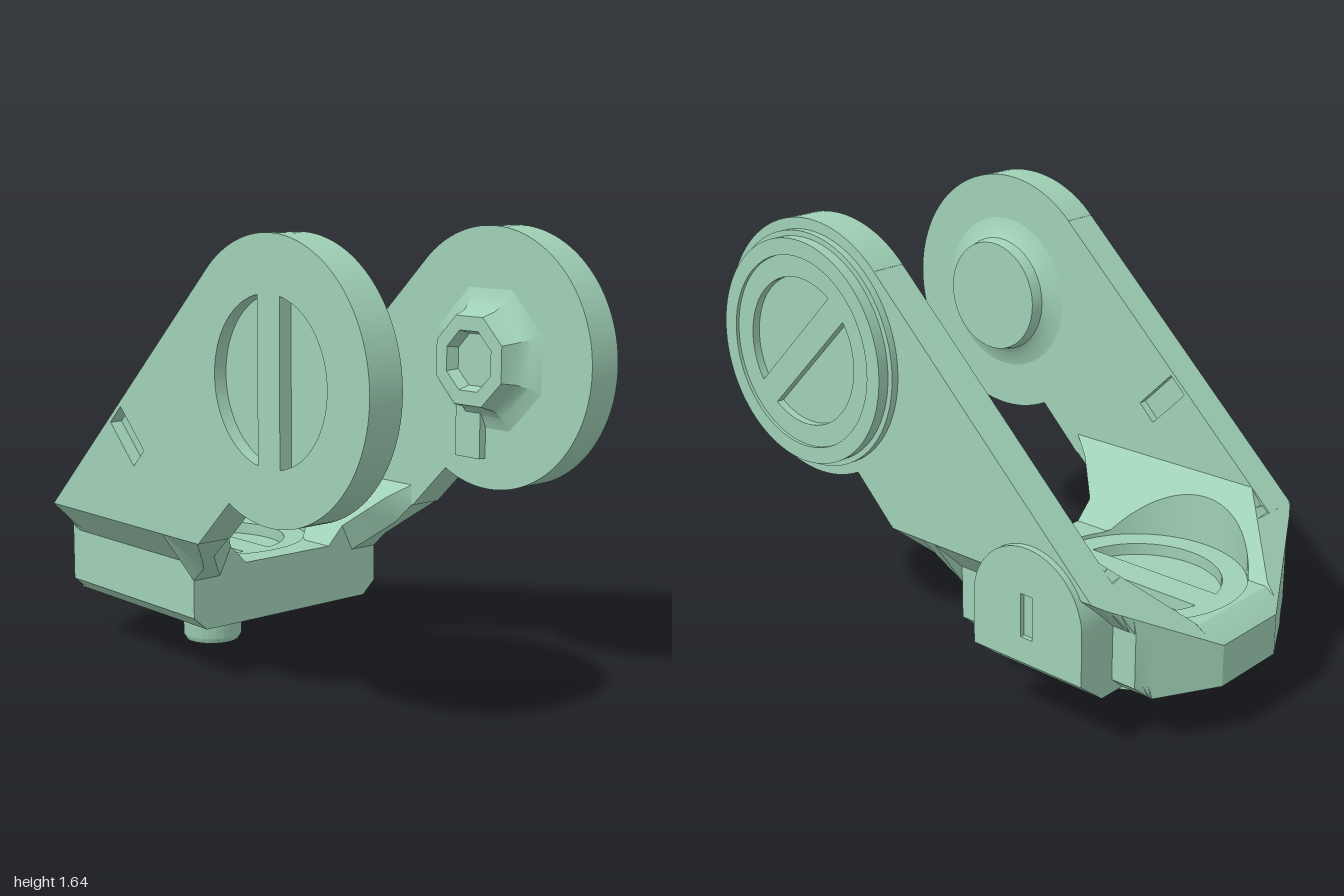
import * as THREE from 'three';
import { toCreasedNormals } from 'three/addons/utils/BufferGeometryUtils.js';

const material = new THREE.MeshStandardMaterial({ color: 0x9fd0b5 });
const PIVOT = [0.53, 1.17];          // centre of the round arm ends
const SCREW = -0.53;                 // x of the base screw
const IN = 0.4375, OUT = 0.5725;     // inner and outer face of the arms
const FLOOR = 0.2;                   // half width of the cradle floor

function add(parent, name, geometry) {
  const mesh = new THREE.Mesh(toCreasedNormals(geometry, 0.5), material);
  mesh.name = name;
  parent.add(mesh);
  return mesh;
}

// Flat plate between two z values, with optional holes
function plate(shape, holes, z0, z1) {
  const s = shape.clone();
  s.holes = holes;
  const g = new THREE.ExtrudeGeometry(s, { depth: z1 - z0, bevelEnabled: false, curveSegments: 40 });
  return g.translate(0, 0, z0);
}

function disc(x, y, r) {
  return new THREE.Shape().absarc(x, y, r, 0, Math.PI * 2, false);
}

// The two half-moon recesses on either side of a screw bar
function halfMoons(x, y, r, halfBar, turn) {
  const a = Math.acos(halfBar / r);
  return [turn, turn + Math.PI].map(t => {
    const p = new THREE.Path();
    p.absarc(x, y, r, t - a, t + a, false);
    p.closePath();
    return p;
  });
}

function slot(x, y, length, width, turn) {
  const c = Math.cos(turn), s = Math.sin(turn);
  return new THREE.Path([[-1, -1], [1, -1], [1, 1], [-1, 1]].map(([u, v]) => {
    const a = u * length / 2, b = v * width / 2;
    return new THREE.Vector2(x + a * c - b * s, y + a * s + b * c);
  }));
}

// Solid lofted along x; section(x) gives [z, y] corners
function loft(stations, section) {
  const rows = stations.map(x => section(x).map(([z, y]) => new THREE.Vector3(x, y, z)));
  const pos = [], n = rows[0].length;
  const tri = (...v) => v.forEach(p => pos.push(p.x, p.y, p.z));
  for (let i = 0; i < rows.length - 1; i++) {
    for (let j = 0; j < n; j++) {
      const k = (j + 1) % n, a = rows[i], b = rows[i + 1];
      tri(a[j], b[j], a[k]);
      tri(a[k], b[j], b[k]);
    }
  }
  [rows[0], rows[rows.length - 1]].forEach((row, end) => {
    const flat = row.map(p => new THREE.Vector2(p.z, p.y));
    for (const [a, b, c] of THREE.ShapeUtils.triangulateShape(flat, [])) {
      end ? tri(row[a], row[c], row[b]) : tri(row[a], row[b], row[c]);
    }
  });
  const g = new THREE.BufferGeometry();
  g.setAttribute('position', new THREE.Float32BufferAttribute(pos, 3));
  g.computeVertexNormals();
  return g;
}

const mirrored = pts => pts.map(([z, y]) => [-z, y]).reverse();
const slopeY = z => 0.42 + Math.max(0, z - FLOOR);
const bevelZ = y => IN + Math.min(1, Math.max(0, (y - 0.45) / 0.13)) * (OUT - IN);

// Cradle cross-section: bevelled sides, sloped inside, round pocket in the floor
function cradleSection(x) {
  const R = 0.375, dx = x - SCREW;
  const top = 1.32 + 0.965 * x, width = 0.155 + 1.83 * (x + 1);
  const inPocket = Math.abs(dx) < R + 1e-6;
  const h = inPocket ? Math.sqrt(Math.max(0, R * R - dx * dx)) : 0;
  const outerY = Math.min(top, 0.58), innerY = Math.min(top, 0.6575);
  const corner = Math.max(FLOOR, h);
  const half = [
    [0.38, 0.2], [IN, 0.25], [IN, Math.min(top, 0.45)],
    [bevelZ(outerY), outerY],
    [FLOOR + Math.max(0, innerY - 0.42), innerY],
    [corner, slopeY(corner)], [h, slopeY(h)],
    [h, inPocket ? 0.36 : 0.42],
  ].map(([z, y]) => [Math.min(z, width), Math.min(y, top)]);
  return [...half, ...mirrored(half)];
}

// Tapering web from the cradle to the underside of an arm
function webSection(x) {
  const b = Math.min(0.655, 0.39 + (x + 0.06) * 0.93);
  return [
    [bevelZ(b), b], [OUT, Math.max(b, 0.58)], [IN, 0.6575],
    [FLOOR + Math.max(0, Math.min(b + 0.1, 0.6575) - 0.42), Math.min(b + 0.1, 0.6575)],
    [Math.min(IN, FLOOR + 0.12 + (x + 0.06)), b],
  ];
}

function turned(profile, sides) {
  return new THREE.LatheGeometry(profile.map(p => new THREE.Vector2(...p)), sides);
}

export function createModel() {
  const model = new THREE.Group();
  model.name = 'forkBracket';
  const fork = new THREE.Group();
  fork.name = 'fork';
  fork.position.z = 0.0325;
  model.add(fork);

  // Cradle
  const xs = [-1, -0.96, -0.92, -0.9, -0.87, -0.846, -0.8, -0.767, -0.686, -0.06];
  for (let i = 0; i <= 32; i++) xs.push(SCREW - 0.375 * Math.cos(i / 32 * Math.PI));
  xs.sort((a, b) => a - b);
  add(fork, 'cradle', loft(xs, cradleSection));
  const webX = [-0.06, 0, 0.06, 0.144, 0.22];
  add(fork, 'frontWeb', loft(webX, webSection));
  add(fork, 'backWeb', loft(webX, x => mirrored(webSection(x))));

  // Screw head in the cradle floor
  const head = plate(disc(0, 0, 0.374), halfMoons(0, 0, 0.285, 0.06, Math.PI / 2), 0.355, 0.405);
  add(fork, 'floorScrew', head.rotateX(-Math.PI / 2).translate(SCREW, 0, 0));

  // Post and curved rib below
  const post = turned([[0, 0], [0.105, 0], [0.115, 0.02], [0.115, 0.14], [0.15, 0.17], [0.23, 0.205]], 24);
  add(fork, 'post', post.translate(SCREW, 0, 0));
  const band = new THREE.Shape();
  band.absarc(0, 0, 0.37, 0.7, 2.35, false);
  band.absarc(0, 0, 0.18, 2.35, 0.7, true);
  add(fork, 'underRib', plate(band, [], 0.15, 0.21).rotateX(-Math.PI / 2).translate(SCREW, 0, 0));

  // Arms
  const arm = new THREE.Shape();
  arm.moveTo(-0.767, 0.58);
  arm.lineTo(0.204, 1.508);
  arm.absarc(...PIVOT, 0.47, 2.337, -2.03, true);
  arm.lineTo(0.15, 0.58);
  arm.closePath();
  const notch = slot(-0.265, 0.9, 0.2, 0.09, -Math.PI / 4);
  const moons = halfMoons(...PIVOT, 0.28, 0.055, 0);
  const frontArm = new THREE.Group();
  frontArm.name = 'frontArm';
  fork.add(frontArm);
  add(frontArm, 'frontArmInner', plate(arm, [notch], IN, 0.47));
  add(frontArm, 'frontArmCore', plate(arm, [], 0.47, 0.525));
  add(frontArm, 'frontArmOuter', plate(arm, [notch, ...moons], 0.525, OUT));
  add(fork, 'backArm', plate(arm, [], -OUT, -IN));

  // Round boss and octagonal nut facing each other
  const boss = turned([[0.3, 0], [0.25, 0.015], [0.225, 0.035], [0.215, 0.08], [0, 0.08]], 40);
  add(fork, 'roundBoss', boss.rotateX(-Math.PI / 2).translate(...PIVOT, IN));
  const nut = turned([[0.27, 0], [0.22, 0.02], [0.19, 0.05], [0.17, 0.105], [0.115, 0.105], [0.1, 0.06], [0, 0.06]], 8);
  add(fork, 'nut', nut.rotateX(Math.PI / 2).rotateZ(Math.PI / 8).translate(...PIVOT, -IN));
  const lug = new THREE.BoxGeometry(0.12, 0.2, 0.04);
  add(fork, 'nutLug', lug.translate(0.46, 0.91, -IN + 0.01));

  // Stepped cap on the back arm
  add(fork, 'capBase', plate(disc(...PIVOT, 0.43), [], -0.6, -OUT));
  add(fork, 'capRim', plate(disc(...PIVOT, 0.41), [disc(...PIVOT, 0.35)], -0.6425, -0.6));
  const capMoons = halfMoons(...PIVOT, 0.27, 0.05, Math.PI / 4);
  add(fork, 'capFace', plate(disc(...PIVOT, 0.35), capMoons, -0.63, -0.6));

  // Arched pad low on the back
  const pad = new THREE.Shape();
  pad.moveTo(-0.27, 0.285);
  pad.lineTo(-0.27, 0.47);
  pad.absarc(-0.51, 0.47, 0.24, 0, Math.PI, false);
  pad.lineTo(-0.75, 0.285);
  pad.closePath();
  add(fork, 'padCore', plate(pad, [], -0.58, -0.42));
  add(fork, 'padFace', plate(pad, [slot(-0.51, 0.46, 0.16, 0.05, Math.PI / 2)], -0.5975, -0.58));
  add(fork, 'padFoot', loft([-0.75, -0.27], () => [[-0.37, 0.2], [-0.37, 0.285], [-0.5975, 0.285], [-0.49, 0.2]]));

  return model;
}
